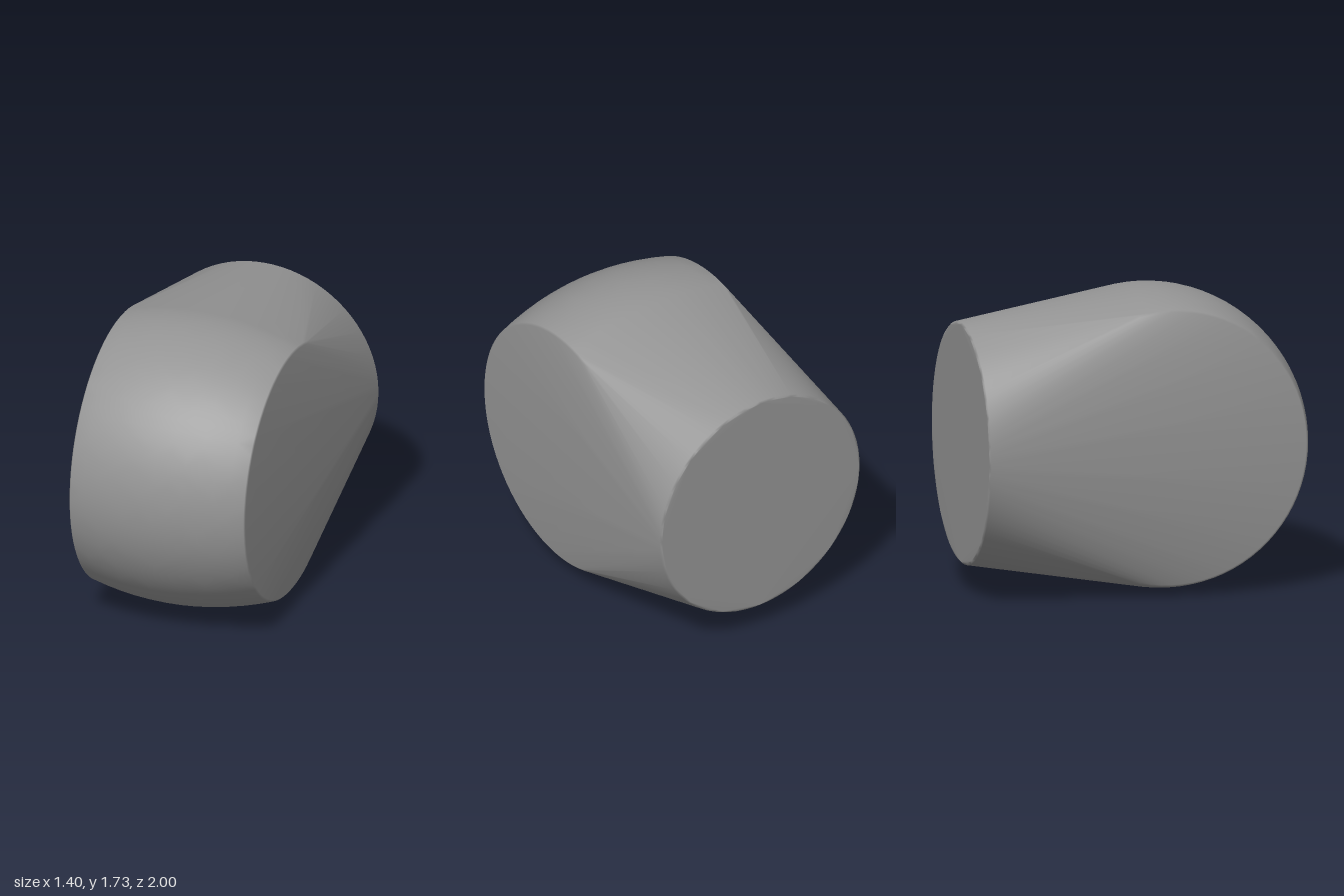
import * as THREE from 'three';
import { ConvexGeometry } from 'three/addons/geometries/ConvexGeometry.js';
import { mergeVertices } from 'three/addons/utils/BufferGeometryUtils.js';

const SEGMENTS = 80;
const CENTRE_Y = 0.867;

// Points of a circle, placed by a function of cosine and sine
function ring(place) {
  return Array.from({ length: SEGMENTS }, (_, i) => {
    const a = (i / SEGMENTS) * Math.PI * 2;
    return place(Math.cos(a), Math.sin(a));
  });
}

const barrelRing = (x, r) =>
  ring((c, s) => new THREE.Vector3(x, CENTRE_Y + r * s, 0.134 + r * c));
const backRing = (z, r) =>
  ring((c, s) => new THREE.Vector3(r * c, CENTRE_Y + r * s, z));

export function createModel() {
  const group = new THREE.Group();
  group.name = 'taperedBarrel';

  // Bulging barrel around the x axis, its unequal ends slightly eased
  const left = -0.445, right = 0.6, steps = 12, ease = 0.012;
  const radius = (x) => 0.866 - 0.3 * x * x;
  const points = [
    ...barrelRing(left - ease * 0.7, radius(left) - ease),
    ...barrelRing(right + ease * 0.7, radius(right) - ease),
  ];
  for (let i = 0; i <= steps; i++) {
    const x = left + ((right - left) * i) / steps;
    points.push(...barrelRing(x, radius(x)));
  }

  // Round flat back end with an eased rim
  points.push(...backRing(-0.99, 0.701), ...backRing(-1, 0.69));

  // Taut skin joining the barrel to the back end, softly shaded over the eased edges
  const skin = new ConvexGeometry(points);
  skin.deleteAttribute('normal');
  const smoothSkin = mergeVertices(skin);
  smoothSkin.computeVertexNormals();

  const body = new THREE.Mesh(smoothSkin, new THREE.MeshStandardMaterial({ color: 0x949494 }));
  body.name = 'body';
  group.add(body);
  return group;
}
